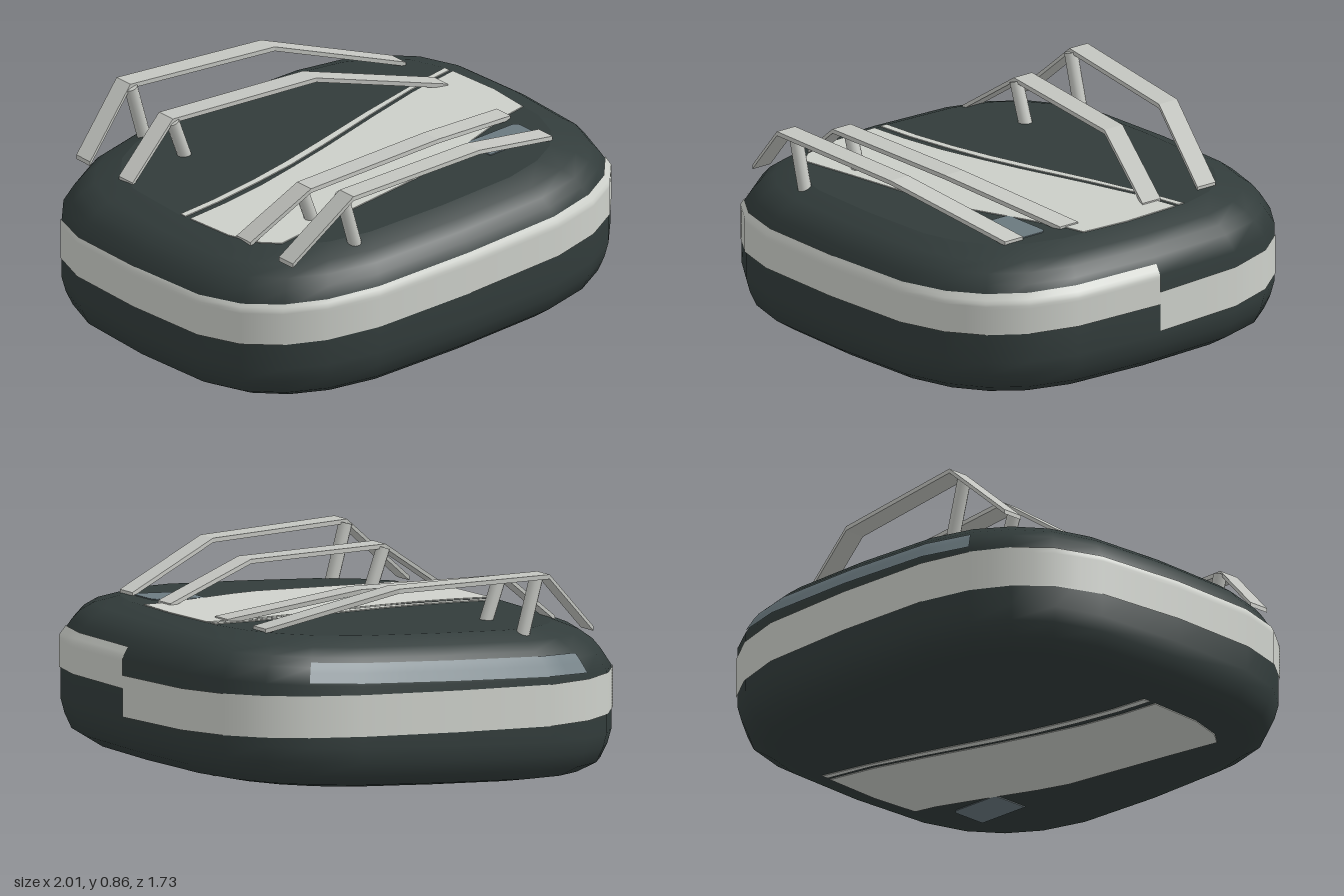
import * as THREE from 'three';

// Plan outline, one quarter (x, z), and side profile (scale, height from the middle)
const quarter = [[1, 0], [0.98, 0.38], [0.915, 0.57], [0.805, 0.7], [0.655, 0.79], [0.44, 0.845], [0, 0.86]];
const profile = [[0.785, -0.3], [0.89, -0.28], [0.96, -0.238], [0.985, -0.18], [1, -0.12], [1, 0.13],
  [0.96, 0.195], [0.93, 0.232], [0.88, 0.267], [0.785, 0.3]];
const MID = 0.363, SLOPE = 0.073;

// Full outline: 24 points from +x through the front (+z) and round the back
const outline = [];
for (let i = 0; i < 24; i++) {
  const q = Math.floor(i / 6), k = i % 6;
  const [x, z] = quarter[q % 2 ? 6 - k : k];
  outline.push([q === 1 || q === 2 ? -x : x, q > 1 ? -z : z]);
}

// Scale of the outline at a given height
function scaleAt(y) {
  for (let i = 1; i < profile.length; i++) {
    const [s0, y0] = profile[i - 1], [s1, y1] = profile[i];
    if (y <= y1) return s0 + (s1 - s0) * (y - y0) / (y1 - y0);
  }
  return 0.785;
}

// Point on the skin at outline position t and height y
function skin(t, y, offset = 0) {
  const i = Math.floor(t), f = t - i;
  const a = outline[i % 24], b = outline[(i + 1) % 24], s = scaleAt(y) + offset;
  return [(a[0] + (b[0] - a[0]) * f) * s, y, (a[1] + (b[1] - a[1]) * f) * s];
}

// Leans a shape so that the body rises towards +x
function lean(geometry) {
  return geometry.applyMatrix4(new THREE.Matrix4().set(
    1, 0, 0, 0, SLOPE, 1, 0, MID, 0, 0, 1, 0, 0, 0, 0, 1));
}

// Surface over columns and rows; a closed one wraps round
function grid(cols, rows, closed, pointAt) {
  const pos = [], index = [];
  for (let r = 0; r < rows; r++) for (let c = 0; c < cols; c++) pos.push(...pointAt(c, r));
  for (let r = 0; r < rows - 1; r++) {
    for (let c = 0; c < (closed ? cols : cols - 1); c++) {
      const n = (c + 1) % cols;
      const a = r * cols + c, b = r * cols + n, d = a + cols, e = b + cols;
      index.push(a, d, b, b, d, e);
    }
  }
  const g = new THREE.BufferGeometry();
  g.setAttribute('position', new THREE.Float32BufferAttribute(pos, 3));
  g.setIndex(index);
  g.computeVertexNormals();
  return g;
}

// Horizontal slab from a shape drawn in x and z, its top at height y
function slab(shape, depth, y) {
  return lean(new THREE.ExtrudeGeometry(shape, { depth, bevelEnabled: false })
    .rotateX(Math.PI / 2).translate(0, y, 0));
}

const shapeOf = (points) => new THREE.Shape(points.map(([x, z]) => new THREE.Vector2(x, z)));

// Bent flat bar through sections [x, y, z], mirrored with side = -1
function railGeometry(path, side) {
  const w = 0.044, h = 0.018, pos = [];
  const corners = path.map(([x, y, z]) => [[y, z - w], [y, z + w], [y - h, z + w], [y - h, z - w]]
    .map(([cy, cz]) => [x, cy, cz * side]));
  const quad = (a, b, c, d) => (side > 0 ? [a, b, c, a, c, d] : [a, c, b, a, d, c])
    .forEach((p) => pos.push(...p));
  for (let i = 0; i < path.length - 1; i++) {
    const p = corners[i], q = corners[i + 1];
    for (let k = 0; k < 4; k++) quad(p[k], p[(k + 1) % 4], q[(k + 1) % 4], q[k]);
  }
  const first = corners[0], last = corners[path.length - 1];
  quad(first[3], first[2], first[1], first[0]);
  quad(...last);
  const g = new THREE.BufferGeometry();
  g.setAttribute('position', new THREE.Float32BufferAttribute(pos, 3));
  g.computeVertexNormals();
  return g;
}

export function createModel() {
  const model = new THREE.Group();
  const material = (name, color) => {
    const m = new THREE.MeshStandardMaterial({ color });
    m.name = name;
    return m;
  };
  const dark = material('darkShell', 0x323c3b);
  const light = material('lightPaint', 0xcdd0ca);
  const metal = material('railGrey', 0xc3c5c0);
  const glass = material('windowGrey', 0x6b7a80);
  const add = (name, geometry, mat) => {
    const mesh = new THREE.Mesh(geometry, mat);
    mesh.name = name;
    model.add(mesh);
    return mesh;
  };

  // Rounded body wall, and a core that closes it top and bottom
  add('bodyWall', lean(grid(24, profile.length, true, (c, r) => skin(c, profile[r][1]))), dark);
  add('bodyCore', slab(shapeOf(outline.map(([x, z]) => [x * 0.785, z * 0.785])), 0.6, 0.3), dark);

  // Light band that winds down round the body and ends in a step
  const bandMiddle = (t) => (t < 12 ? 0.09 - 0.028 * t / 12 : 0.062 - 0.085 * (t - 12) / 12);
  add('sideBand', lean(grid(49, 15, false,
    (c, r) => skin(c / 2, bandMiddle(c / 2) - 0.083 + 0.166 * r / 14, 0.005))), light);

  // Long rear window on the shoulder
  add('rearWindow', lean(grid(9, 7, false,
    (c, r) => skin(16 + c / 2, 0.14 + 0.075 * r / 6, 0.006))), glass);

  // Broad stripe, thin stripe and small window, on both top and bottom
  const broad = shapeOf([[-0.78, 0.075], [-0.6, 0.062], [-0.4, 0.035], [-0.2, -0.01], [0, -0.06],
    [0.3, -0.145], [0.55, -0.21], [0.77, -0.245], [0.785, 0], [0.77, 0.2], [0.67, 0.22], [0.45, 0.295],
    [0.24, 0.37], [0.1, 0.41], [-0.4, 0.47], [-0.66, 0.505], [-0.715, 0.445], [-0.765, 0.3]]);
  const thin = shapeOf([[-0.78, 0.045], [-0.6, 0.033], [-0.4, 0.005], [-0.2, -0.03], [0, -0.08],
    [0.3, -0.165], [0.55, -0.23], [0.765, -0.262], [0.765, -0.29], [0.55, -0.252], [0.3, -0.195],
    [0, -0.115], [-0.2, -0.065], [-0.4, -0.025], [-0.6, 0.003], [-0.78, 0.015]]);
  const pane = new THREE.Shape();
  pane.moveTo(0.44, 0.3).lineTo(0.63, 0.3).quadraticCurveTo(0.66, 0.3, 0.66, 0.33)
    .lineTo(0.66, 0.455).lineTo(0.41, 0.455).lineTo(0.41, 0.33).quadraticCurveTo(0.41, 0.3, 0.44, 0.3);
  for (const [place, y] of [['top', 0.304], ['bottom', -0.296]]) {
    add(place + 'BroadStripe', slab(broad, 0.008, y), light);
    add(place + 'ThinStripe', slab(thin, 0.008, y), light);
    add(place + 'Window', slab(pane, 0.008, y), glass);
  }

  // Two bent rails on each side, each with a slanted post
  const outer = [[-0.75, 0.615, 0.645], [-0.5, 0.857, 0.71], [0.17, 0.86, 0.652], [0.675, 0.725, 0.467]];
  const inner = [[-0.75, 0.615, 0.375], [-0.5, 0.8, 0.44], [0.17, 0.817, 0.387], [0.675, 0.722, 0.2]];
  const up = new THREE.Vector3(0, 1, 0);
  for (const side of [1, -1]) {
    const label = side > 0 ? 'front' : 'back';
    for (const [kind, path, postZ] of [['Outer', outer, 0.67], ['Inner', inner, 0.405]]) {
      add(label + kind + 'Rail', railGeometry(path, side), metal);
      const foot = new THREE.Vector3(-0.425, 0.6, postZ * side);
      const head = new THREE.Vector3(-0.495, path[1][1] - 0.015, postZ * side);
      const dir = head.clone().sub(foot);
      const post = add(label + kind + 'Post', new THREE.CylinderGeometry(0.027, 0.027, dir.length(), 12), metal);
      post.position.copy(foot).add(head).multiplyScalar(0.5);
      post.quaternion.setFromUnitVectors(up, dir.normalize());
    }
  }
  return model;
}
